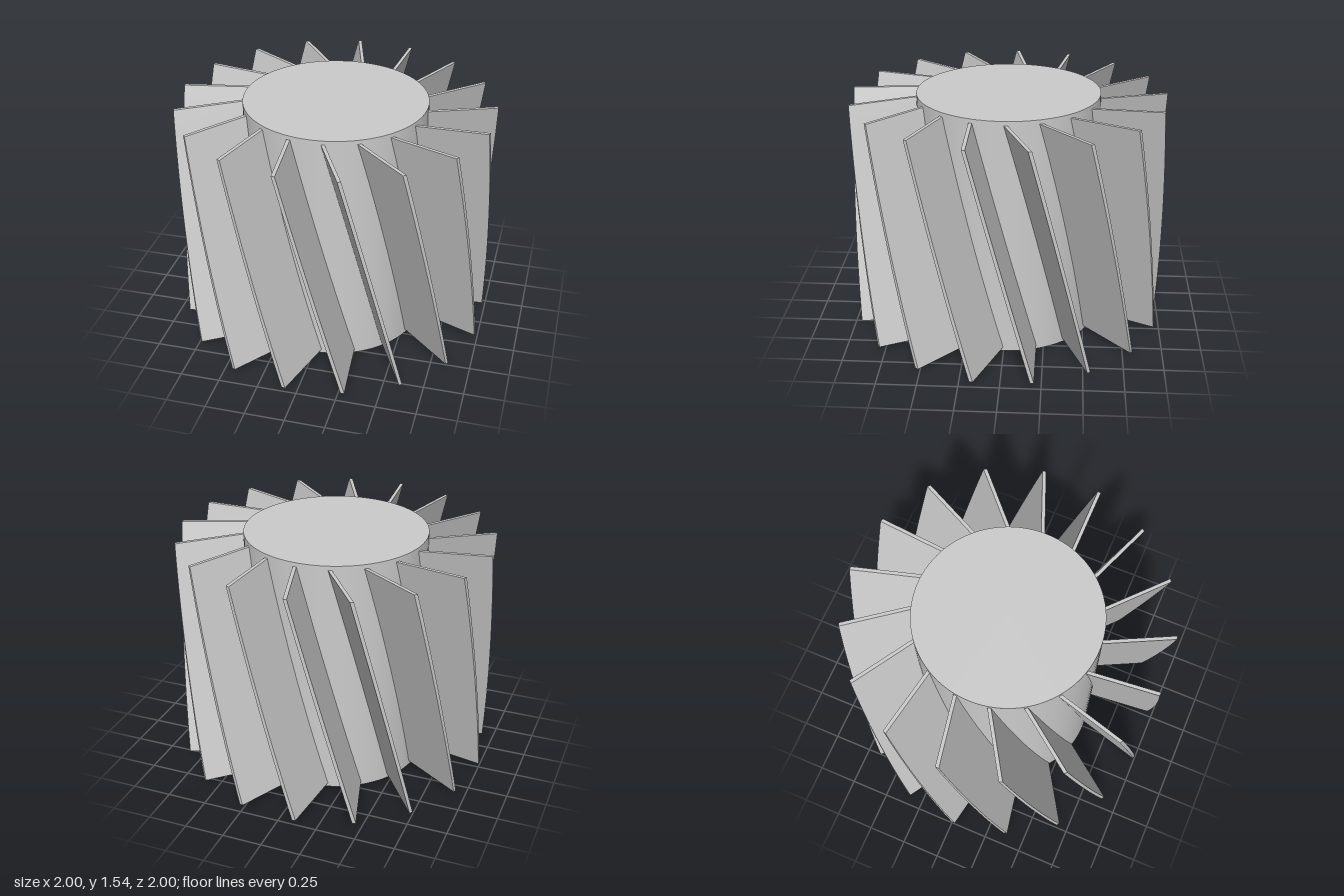
import * as THREE from 'three';

const BLADES = 17;
const HUB_R = 0.577, HUB_H = 1.54;
const OUTER_R = 1, INNER_X = 0.5;
const BLADE_H = 1.488, LEAN = 0.195, THICK = 0.022;

// Flat slanted plate, level at both ends, its outer edge trimmed to a cylinder
function bladeGeometry() {
  const geo = new THREE.BoxGeometry(1, 1, 1, 1, 16, 1);
  const pos = geo.attributes.position;
  for (let i = 0; i < pos.count; i++) {
    const t = pos.getY(i) * 2;
    const z = LEAN * t + pos.getZ(i) * THICK;
    const x = pos.getX(i) > 0 ? Math.sqrt(OUTER_R * OUTER_R - z * z) : INNER_X;
    pos.setXYZ(i, x, pos.getY(i) * BLADE_H, z);
  }
  geo.computeVertexNormals();
  return geo;
}

export function createModel() {
  const group = new THREE.Group();
  group.name = 'bladedRotor';
  const material = new THREE.MeshStandardMaterial({ color: 0xcccccc });

  // Solid central drum
  const hub = new THREE.Mesh(new THREE.CylinderGeometry(HUB_R, HUB_R, HUB_H, 96), material);
  hub.name = 'hub';
  hub.position.y = HUB_H / 2;
  group.add(hub);

  // Ring of slanted blades
  const geo = bladeGeometry();
  for (let i = 0; i < BLADES; i++) {
    const blade = new THREE.Mesh(geo, material);
    blade.name = `blade${i + 1}`;
    blade.position.y = HUB_H / 2;
    blade.rotation.y = (i / BLADES) * Math.PI * 2;
    group.add(blade);
  }
  return group;
}
